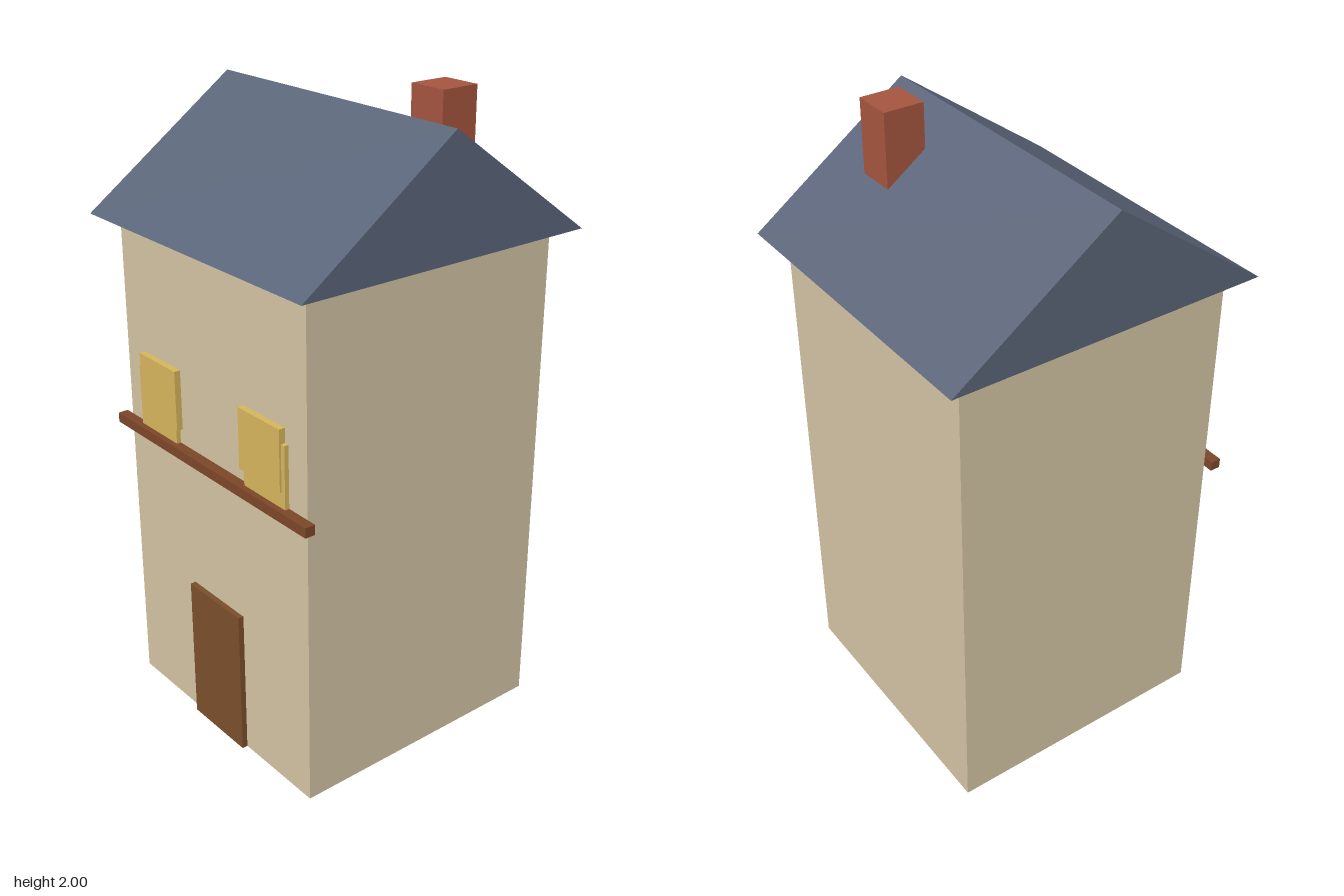
import * as THREE from 'three';

const material = (color) => new THREE.MeshStandardMaterial({ color, flatShading: true });

// Box given by its minimum and maximum corners
function box(name, mat, [x0, y0, z0], [x1, y1, z1]) {
  const mesh = new THREE.Mesh(new THREE.BoxGeometry(x1 - x0, y1 - y0, z1 - z0), mat);
  mesh.position.set((x0 + x1) / 2, (y0 + y1) / 2, (z0 + z1) / 2);
  mesh.name = name;
  return mesh;
}

export function createModel() {
  const house = new THREE.Group();
  house.name = 'house';

  const plaster = material(0xd1c2a2);
  const slate = material(0x5a6478);
  const wood = material(0x7a4e2b);
  const beamWood = material(0x7b4628);
  const glass = material(0xd4b45c);
  const brick = material(0xa3543e);

  const wall = 0.443, eaves = 1.585, ridge = 1.945, overhang = 0.507;

  // Walls
  house.add(box('walls', plaster, [-wall, 0, -wall], [wall, eaves, wall]));

  // Gable roof: triangular section run along x
  const gable = new THREE.Shape();
  gable.moveTo(-overhang, eaves);
  gable.lineTo(overhang, eaves);
  gable.lineTo(0, ridge);
  gable.closePath();
  const roofGeometry = new THREE.ExtrudeGeometry(gable, { depth: 2 * overhang, bevelEnabled: false });
  roofGeometry.translate(0, 0, -overhang).rotateY(Math.PI / 2);
  const roof = new THREE.Mesh(roofGeometry, slate);
  roof.name = 'roof';
  house.add(roof);

  // Chimney on the rear slope
  house.add(box('chimney', brick, [0.203, 1.7, -0.241], [0.329, 2, -0.115]));

  // Door and the beam under the windows
  house.add(box('door', wood, [-0.127, 0, 0.43], [0.127, 0.476, 0.461]));
  house.add(box('beam', beamWood, [-0.475, 0.91, wall], [0.475, 0.941, 0.476]));

  // Mirrored windows, each of two offset overlapping panes
  for (const side of [-1, 1]) {
    const window = new THREE.Group();
    window.name = side > 0 ? 'leftWindow' : 'rightWindow';
    const pane = (name, inner, outer, y0, y1, z) => {
      const xs = [side * inner, side * outer].sort((a, b) => a - b);
      window.add(box(name, glass, [xs[0], y0, 0.43], [xs[1], y1, z]));
    };
    pane('upperPane', 0.158, 0.347, 0.99, 1.18, 0.463);
    pane('lowerPane', 0.172, 0.362, 0.941, 1.135, 0.457);
    house.add(window);
  }

  return house;
}
